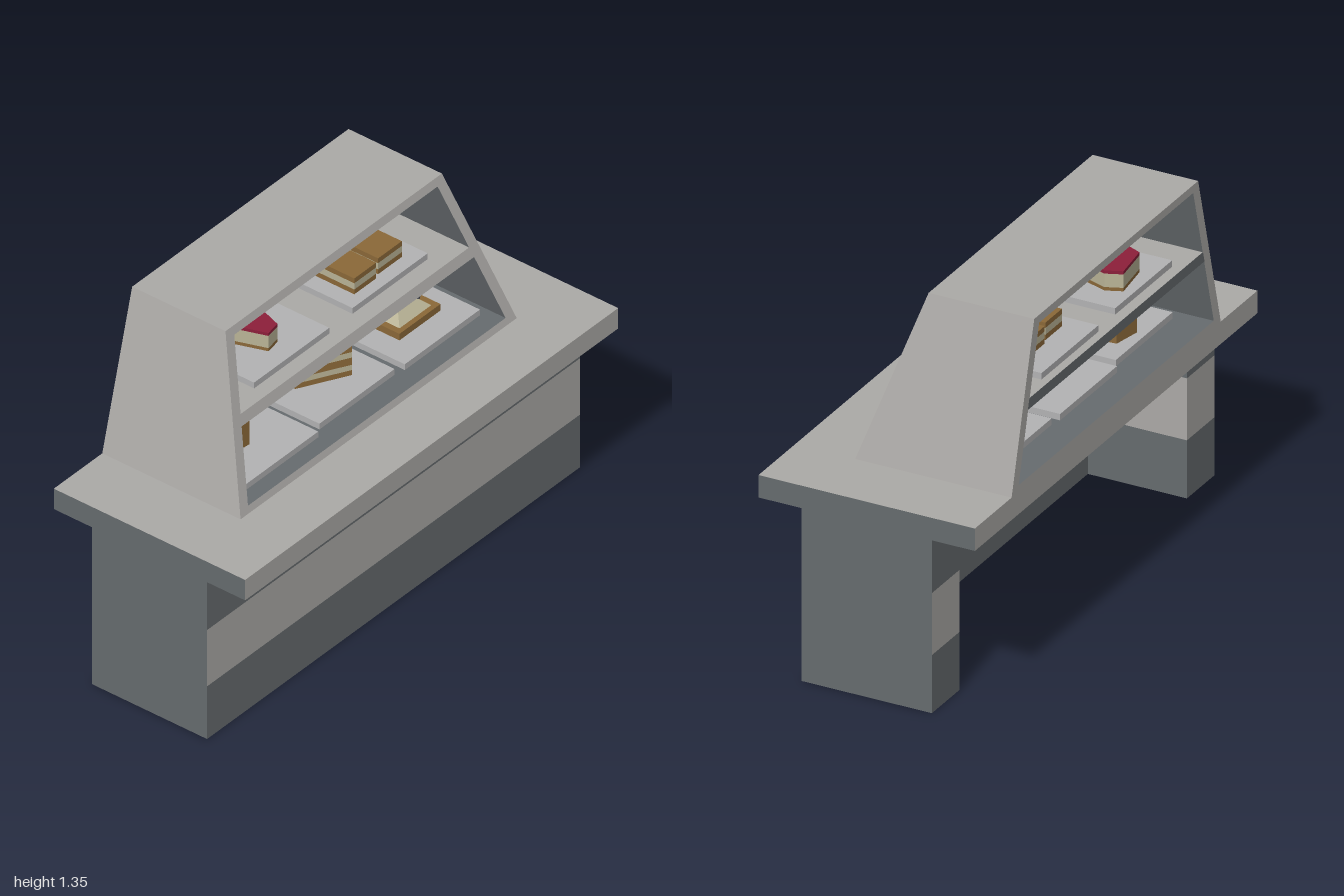
import * as THREE from 'three';

const mat = (name, color) => {
  const m = new THREE.MeshStandardMaterial({ color });
  m.name = name;
  return m;
};

export function createModel() {
  const light = mat('light stone', 0xaba9a6);
  const slate = mat('slate', 0x666b6e);
  const plate = mat('tray grey', 0xb2b2b3);
  const brown = mat('sponge brown', 0x8a6838);
  const cream = mat('cream', 0xb9b396);
  const red = mat('red glaze', 0x8c1f3a);
  const berry = mat('berry', 0x50545f);

  const root = new THREE.Group();
  root.name = 'bakeryCounter';
  const group = (name) => {
    const g = new THREE.Group();
    g.name = name;
    root.add(g);
    return g;
  };

  // Prism between two [x, z] rings, listed from front left to front right to back.
  // mats: one material, or one per side followed by top and bottom.
  function loft(parent, name, y0, y1, low, high, mats) {
    const n = low.length, pos = [];
    const geo = new THREE.BufferGeometry();
    const b = low.map(([x, z]) => [x, y0, z]);
    const t = high.map(([x, z]) => [x, y1, z]);
    const face = (index, pts) => {
      const start = pos.length / 3;
      for (let k = 1; k < pts.length - 1; k++) pos.push(...pts[0], ...pts[k], ...pts[k + 1]);
      geo.addGroup(start, pos.length / 3 - start, index);
    };
    for (let i = 0; i < n; i++) {
      const j = (i + 1) % n;
      face(i, [b[i], b[j], t[j], t[i]]);
    }
    face(n, t);
    face(n + 1, [...b].reverse());
    geo.setAttribute('position', new THREE.Float32BufferAttribute(pos, 3));
    geo.computeVertexNormals();
    if (!Array.isArray(mats)) geo.clearGroups();
    const mesh = new THREE.Mesh(geo, mats);
    mesh.name = name;
    parent.add(mesh);
    return mesh;
  }
  const rect = (x0, x1, z0, z1) => [[x0, z1], [x1, z1], [x1, z0], [x0, z0]];
  const box = (parent, name, x0, x1, y0, y1, z0, z1, mats) =>
    loft(parent, name, y0, y1, rect(x0, x1, z0, z1), rect(x0, x1, z0, z1), mats);

  // Stack of layers sharing one outline: [top y, side material(s), top material]
  function layers(parent, name, ring, y0, list) {
    for (const [y1, m] of list) {
      loft(parent, name, y0, y1, ring, ring, m);
      y0 = y1;
    }
  }

  // Striped base: front panel and two end blocks, open at the back
  const base = group('base');
  for (const [y0, y1, m] of [[0, 0.22, slate], [0.22, 0.455, light], [0.455, 0.655, slate]]) {
    box(base, 'frontPanel', -0.805, 0.805, y0, y1, 0.13, 0.25, [m, m, m, m, slate, slate]);
    box(base, 'leftEnd', 0.805, 1, y0, y1, -0.25, 0.25, [m, slate, m, m, slate, slate]);
    box(base, 'rightEnd', -1, -0.805, y0, y1, -0.25, 0.25, [m, m, m, slate, slate, slate]);
  }
  box(root, 'countertop', -1, 1, 0.655, 0.74, -0.415, 0.415,
    [light, slate, light, slate, light, slate]);

  // Display case: outline tapers with height, back stays upright
  const Y0 = 0.74, Y1 = 1.345, BACK = -0.415, WALL = 0.043;
  const halfX = (y) => 0.74 - 0.16 * (y - Y0) / (Y1 - Y0);
  const frontZ = (y) => 0.185 - 0.195 * (y - Y0) / (Y1 - Y0);
  const caseGroup = group('displayCase');
  const wall = (y, s) => s > 0
    ? rect(halfX(y) - WALL, halfX(y), BACK, frontZ(y))
    : rect(-halfX(y), -halfX(y) + WALL, BACK, frontZ(y));
  loft(caseGroup, 'leftWall', Y0, Y1, wall(Y0, 1), wall(Y1, 1),
    [light, light, light, slate, light, slate]);
  loft(caseGroup, 'rightWall', Y0, Y1, wall(Y0, -1), wall(Y1, -1),
    [light, slate, light, light, light, slate]);
  const slab = (name, y0, y1, mats) => {
    const ring = (y) => {
      const x = halfX(y) - WALL + 0.002;
      return rect(-x, x, BACK, frontZ(y));
    };
    loft(caseGroup, name, y0, y1, ring(y0), ring(y1), mats);
  };
  slab('floor', Y0, 0.765, [light, light, light, light, slate, slate]);
  slab('shelf', 1.02, 1.06, [light, light, slate, light, light, slate]);
  slab('roof', 1.315, Y1, [light, light, light, light, light, slate]);

  // Serving trays: [left x, base y, front z]
  const trays = group('trays');
  for (const [x, y, z] of [
    [-0.64, 0.765, 0.115], [-0.2, 0.765, 0.09], [0.245, 0.765, 0.1],
    [-0.47, 1.06, 0.025], [0.07, 1.06, 0.015],
  ]) box(trays, 'tray', x, x + 0.403, y, y + 0.024, z - 0.4, z, plate);

  // Glazed cake slice with a blunt tip
  const UP = 1.084, LOW = 0.789;
  layers(group('glazedSlice'), 'sliceLayer',
    [[-0.37, -0.25], [-0.3, -0.05], [-0.24, -0.06], [-0.165, -0.28], [-0.19, -0.34], [-0.34, -0.32]],
    UP, [[1.097, brown], [1.148, cream], [1.16, red]]);

  // Two layered sponge bars
  const bars = group('spongeBars');
  for (const [x0, x1, z] of [[0.135, 0.252, -0.03], [0.275, 0.402, -0.04]])
    layers(bars, 'spongeLayer', rect(x0, x1, z - 0.25, z), UP,
      [[1.104, brown], [1.13, cream], [1.15, brown]]);

  // Two plain cake blocks
  const blocks = group('cakeBlocks');
  for (const ring of [
    [[-0.54, -0.03], [-0.44, -0.02], [-0.405, -0.12], [-0.505, -0.13]],
    [[-0.45, -0.15], [-0.335, -0.13], [-0.345, -0.23], [-0.45, -0.25]],
  ]) loft(blocks, 'cakeBlock', LOW, 0.9, ring, ring, brown);

  // Triangular layer cake, frosted on the back, with a cherry
  const layerCake = group('layerCake');
  const filling = [cream, cream, brown, brown, brown];
  layers(layerCake, 'cakeLayer', [[-0.1, -0.1], [0.085, 0], [0.1, -0.15]], LOW,
    [[0.81, brown], [0.832, filling], [0.862, brown], [0.885, filling], [0.912, brown]]);
  box(layerCake, 'cherry', -0.028, 0.026, 0.912, 0.936, -0.125, -0.075, red);

  // Tart with a cream mound and berries
  const tart = group('tart');
  box(tart, 'crust', 0.34, 0.56, LOW, 0.816, -0.2, 0, brown);
  loft(tart, 'creamMound', 0.816, 0.856,
    rect(0.365, 0.535, -0.18, -0.02), rect(0.405, 0.495, -0.14, -0.06), cream);
  for (const [x, z] of [[0.395, -0.1], [0.505, -0.07], [0.47, -0.145]]) {
    const m = new THREE.Mesh(new THREE.IcosahedronGeometry(0.024, 0), berry);
    m.name = 'berry';
    m.position.set(x, 0.846, z);
    tart.add(m);
  }
  return root;
}
